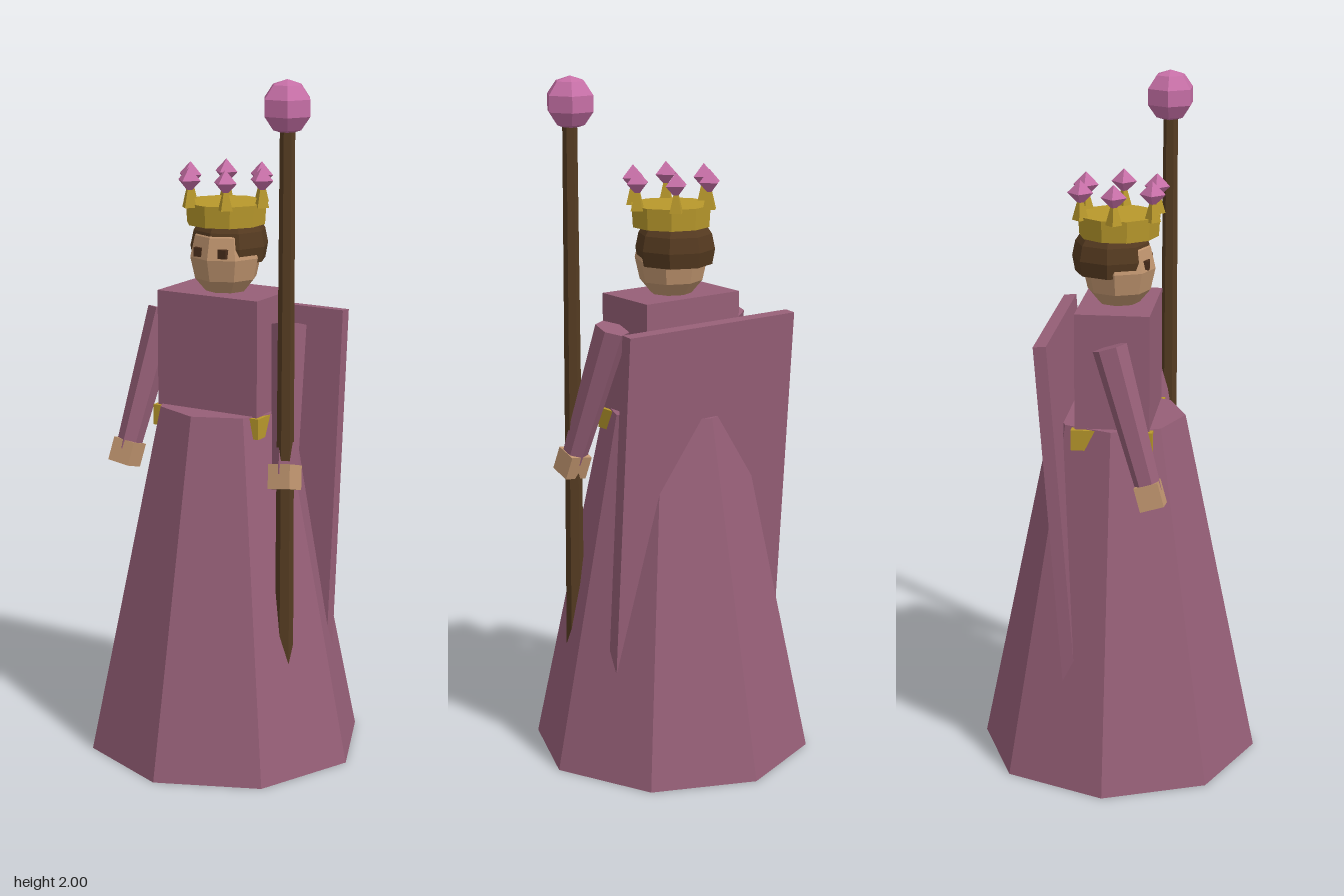
import * as THREE from 'three';

const mat = (name, color) => {
  const m = new THREE.MeshStandardMaterial({ color, flatShading: true });
  m.name = name;
  return m;
};

export function createModel() {
  const robe = mat('robe mauve', 0x965f77);
  const gold = mat('gold', 0xb8982c);
  const skin = mat('skin', 0xc0956f);
  const hairBrown = mat('hair brown', 0x553a20);
  hairBrown.side = THREE.DoubleSide;
  const eyeBrown = mat('eye brown', 0x4a2e1c);
  const wood = mat('staff wood', 0x553c22);
  const gemPink = mat('gem pink', 0xc66fa6);

  const model = new THREE.Group();
  model.name = 'robedRuler';
  const add = (name, geometry, material, x, y, z, parent = model) => {
    const mesh = new THREE.Mesh(geometry, material);
    mesh.name = name;
    mesh.position.set(x, y, z);
    parent.add(mesh);
    return mesh;
  };

  // Robe and belt, whose corners poke out of the skirt
  add('skirt', new THREE.CylinderGeometry(0.195, 0.41, 1.04, 8), robe, 0, 0.52, 0);
  add('torso', new THREE.BoxGeometry(0.33, 0.345, 0.214), robe, 0, 1.2025, 0);
  add('belt', new THREE.BoxGeometry(0.352, 0.06, 0.234), gold, 0, 1.007, 0);

  // Cape, leaning into the back of the skirt
  const cape = add('cape', new THREE.BoxGeometry(0.586, 1.15, 0.037), robe, 0, 0.74, -0.142);
  cape.rotation.x = -0.075;

  // Arms reach down, out and forward
  for (const side of [1, -1]) {
    const shoulder = new THREE.Vector3(side * 0.208, 1.295, 0);
    const wrist = new THREE.Vector3(side * 0.265, 0.89, 0.12);
    const up = shoulder.clone().sub(wrist);
    const arm = new THREE.Group();
    arm.name = side > 0 ? 'leftArm' : 'rightArm';
    arm.position.copy(shoulder).add(wrist).multiplyScalar(0.5);
    arm.quaternion.setFromUnitVectors(new THREE.Vector3(0, 1, 0), up.clone().normalize());
    model.add(arm);
    add('sleeve', new THREE.CylinderGeometry(0.05, 0.036, up.length(), 6), robe, 0, 0, 0, arm);
    add('hand', new THREE.BoxGeometry(0.07, 0.07, 0.07), skin, 0, -up.length() / 2 - 0.008, 0, arm);
  }

  // Head, hair and eyes
  const head = add('head', new THREE.SphereGeometry(0.105, 8, 6), skin, 0, 1.475, 0);
  head.scale.y = 1.19;
  add('hair', new THREE.SphereGeometry(0.115, 8, 5, 0, Math.PI * 2, 0, Math.PI * 0.62), hairBrown, 0, 1.505, -0.02);
  for (const side of [1, -1]) {
    add('eye', new THREE.BoxGeometry(0.026, 0.026, 0.018), eyeBrown, side * 0.04, 1.494, 0.083);
  }

  // Crown with six gem-tipped spikes
  const crown = new THREE.Group();
  crown.name = 'crown';
  model.add(crown);
  add('crownBand', new THREE.CylinderGeometry(0.118, 0.114, 0.062, 10), gold, 0, 1.6, 0, crown);
  for (let i = 0; i < 6; i++) {
    const a = (i * Math.PI) / 3;
    const x = Math.cos(a) * 0.118, z = Math.sin(a) * 0.118;
    add('spike', new THREE.ConeGeometry(0.024, 0.085, 4), gold, x, 1.665, z, crown);
    add('crownGem', new THREE.OctahedronGeometry(0.037), gemPink, x, 1.7, z, crown);
  }

  // Staff in the left hand
  add('staff', new THREE.CylinderGeometry(0.021, 0.027, 1.6, 6), wood, 0.265, 1.06, 0.118);
  add('staffOrb', new THREE.SphereGeometry(0.075, 6, 5), gemPink, 0.263, 1.925, 0.117);

  return model;
}
